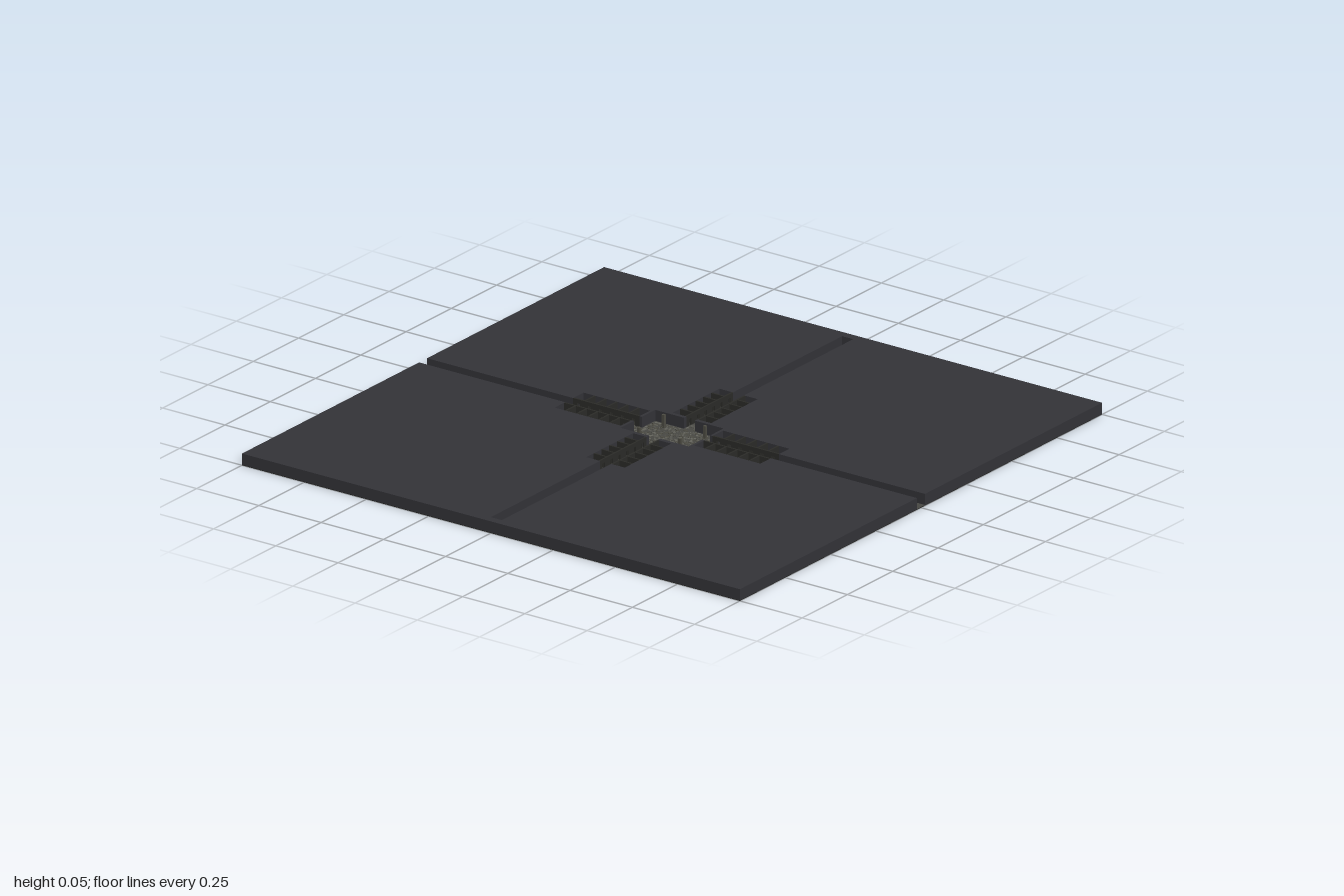
import * as THREE from 'three';
import { mergeGeometries } from 'three/addons/utils/BufferGeometryUtils.js';

const TOP = 0.041, FLOOR = 0.002;
const mat = (color) => new THREE.MeshStandardMaterial({ color, flatShading: true });
const rock = mat(0x333338), base = mat(0x22221f), paving = mat(0x484844);
const cellFloor = mat(0x3d3d38), wallMat = mat(0x2b2b28), gold = mat(0x6e602c), wood = mat(0x45392a);
const stones = [mat(0x55554f), mat(0x65655d), mat(0x4c4b42)];

let seed = 7;
const rand = () => (seed = (seed * 16807) % 2147483647) / 2147483647;

// Box geometry standing on height y
function block(w, h, d, x, y, z, turn = 0) {
  return new THREE.BoxGeometry(w, h, d).rotateY(turn).translate(x, y + h / 2, z);
}
function add(parent, name, geometries, material) {
  const mesh = new THREE.Mesh(mergeGeometries(geometries), material);
  mesh.name = name;
  parent.add(mesh);
}

// Half of the rock mass, with the halls and cell rows cut into its inner edge
function rockHalf() {
  const edge = [[0.022, 1], [0.022, 0.413], [0.08, 0.413], [0.08, 0.147], [0.022, 0.147],
    [0.022, 0.137], [0.096, 0.137], [0.096, 0.022], [0.11, 0.022], [0.11, 0.077],
    [0.367, 0.077], [0.367, 0.022], [0.97, 0.022]];
  const mirrored = edge.map(([x, y]) => [x, -y]).reverse();
  const points = [...edge, ...mirrored, [1, -1], [1, 1]].map(([x, y]) => new THREE.Vector2(x, y));
  return new THREE.ExtrudeGeometry(new THREE.Shape(points), { depth: TOP - FLOOR, bevelEnabled: false })
    .rotateX(-Math.PI / 2).translate(0, FLOOR, 0);
}

// Row of six cells running along +x, on the +z side of a hall
function cellRow(start, end, depth) {
  const row = new THREE.Group();
  const front = 0.022, wall = 0.006, pitch = (end - start) / 6;
  const h = TOP - FLOOR, mid = (front + depth) / 2;
  const walls = [], floors = [], doors = [], beds = [], coins = [];
  for (let i = 0; i < 6; i++) {
    const x = start + pitch * (i + 0.5);
    // partition, door jambs and lintel
    if (i) walls.push(block(wall, h, depth - front, x - pitch / 2, FLOOR, mid));
    const jamb = (pitch - 0.014) / 2;
    for (const s of [-1, 1])
      walls.push(block(jamb, h, wall, x + s * (0.007 + jamb / 2), FLOOR, front + wall / 2));
    walls.push(block(0.014, 0.014, wall, x, TOP - 0.014, front + wall / 2));
    floors.push(block(pitch, 0.0005, depth - front, x, FLOOR, mid));
    // barred door
    for (const k of [-1, 0, 1])
      doors.push(block(0.0012, 0.025, 0.0012, x + k * 0.004, FLOOR, front + wall / 2));
    // small furnishings
    beds.push(block(0.008, 0.005, 0.012, x + (rand() - 0.5) * 0.02, FLOOR, mid + 0.008));
    if (rand() > 0.4)
      coins.push(block(0.004, 0.003, 0.004, x + (rand() - 0.5) * 0.02, FLOOR, mid - 0.006, rand() * 3));
  }
  add(row, 'cellWalls', walls, wallMat);
  add(row, 'cellFloors', floors, cellFloor);
  add(row, 'cellBars', doors, wallMat);
  add(row, 'cellBeds', beds, wood);
  if (coins.length) add(row, 'cellTrinkets', coins, gold);
  return row;
}

export function createModel() {
  const model = new THREE.Group();

  add(model, 'baseSlab', [block(2, FLOOR, 2, 0, 0, 0)], base);
  for (const side of [0, 1])
    add(model, side ? 'rockRight' : 'rockLeft', [rockHalf().rotateY(side * Math.PI)], rock);

  // Paving of the two crossing halls and the central room
  add(model, 'hallFloor', [
    block(0.044, 0.0005, 2, 0, FLOOR, 0),
    block(1.94, 0.0006, 0.044, 0, FLOOR, 0),
    block(0.192, 0.0007, 0.274, 0, FLOOR, 0),
  ], paving);

  // Cell rows on both sides of all four arms
  for (let arm = 0; arm < 4; arm++) {
    for (const flip of [0, 1]) {
      const alongZ = arm % 2;
      const row = alongZ ? cellRow(0.147, 0.413, 0.08) : cellRow(0.11, 0.367, 0.077);
      const holder = new THREE.Group();
      holder.name = 'cellRow';
      row.scale.z = flip ? -1 : 1;
      holder.add(row);
      holder.rotation.y = arm * Math.PI / 2;
      model.add(holder);
    }
  }

  // Loose stones, thinning out along the halls
  const heaps = stones.map(() => []);
  const scatter = (x, z) => {
    const s = 0.004 + rand() * 0.006;
    heaps[Math.floor(rand() * 3)].push(
      block(s, 0.001 + rand() * 0.002, s * (0.6 + rand() * 0.5), x, FLOOR, z, rand() * 3));
  };
  for (let i = 0; i < 700; i++) scatter((rand() - 0.5) * 0.18, (rand() - 0.5) * 0.26);
  for (let i = 0; i < 1100; i++) {
    const along = 0.1 + 0.5 * Math.pow(rand(), 1.2), across = (rand() - 0.5) * 0.036;
    const s = i % 4 < 2 ? 1 : -1;
    if (i % 2) scatter(s * along, across);
    else scatter(across, s * (along + 0.02));
  }
  heaps.forEach((heap, i) => add(model, 'looseStones', heap, stones[i]));

  // Four pillars of the central room
  const pillars = [];
  for (const x of [-0.068, 0.068]) for (const z of [-0.083, 0.083]) {
    pillars.push(block(0.01, 0.045, 0.01, x, FLOOR, z));
    pillars.push(block(0.014, 0.004, 0.014, x, FLOOR, z));
  }
  add(model, 'pillars', pillars, stones[2]);

  return model;
}
